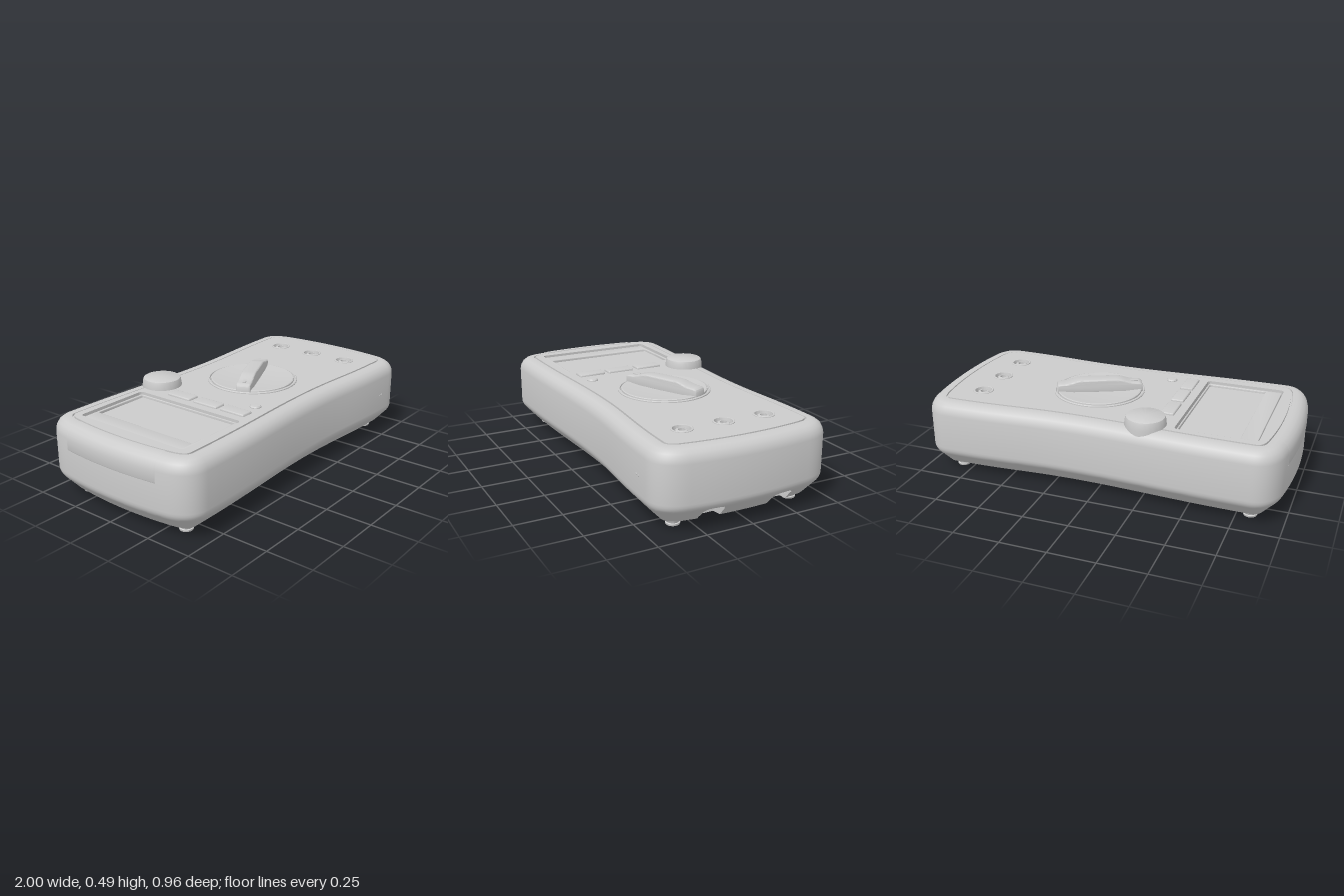
import * as THREE from 'three';
import { toCreasedNormals } from 'three/addons/utils/BufferGeometryUtils.js';

const V2 = (x, y) => new THREE.Vector2(x, y);
const material = new THREE.MeshStandardMaterial({ color: 0xcccccc });
const openMaterial = new THREE.MeshStandardMaterial({ color: 0xcccccc, side: THREE.DoubleSide });

// Waisted plan outline (x, z): half drawn with curves, half mirrored
function planOutline() {
  const p = new THREE.Path();
  const sample = (c, n) => c.getPoints(n).slice(1);
  const half = [V2(1, 0),
    ...sample(new THREE.QuadraticBezierCurve(V2(1, 0), V2(1, 0.17), V2(0.975, 0.33)), 44),
    ...sample(new THREE.CubicBezierCurve(V2(0.975, 0.33), V2(0.961, 0.42), V2(0.91, 0.478), V2(0.83, 0.478)), 14),
    ...sample(new THREE.CubicBezierCurve(V2(0.83, 0.478), V2(0.5, 0.478), V2(0.4, 0.447), V2(0.12, 0.447)), 16),
    ...sample(new THREE.CubicBezierCurve(V2(0.12, 0.447), V2(-0.2, 0.447), V2(-0.4, 0.478), V2(-0.83, 0.478)), 16),
    ...sample(new THREE.CubicBezierCurve(V2(-0.83, 0.478), V2(-0.91, 0.478), V2(-0.961, 0.42), V2(-0.975, 0.33)), 14),
    ...sample(new THREE.QuadraticBezierCurve(V2(-0.975, 0.33), V2(-1, 0.17), V2(-1, 0)), 44)];
  return [...half, ...half.slice(1, -1).reverse().map(q => V2(q.x, -q.y))];
}
const outline = planOutline();
const normals = outline.map((q, i) => {
  const n = outline.length;
  const t = outline[(i + 1) % n].clone().sub(outline[(i + n - 1) % n]).normalize();
  return V2(t.y, -t.x);
});
const all = outline.map((_, i) => i);
const inset = (d, ids = all) => ids.map(i => outline[i].clone().addScaledVector(normals[i], -d));

// Arched notches cut into the lower edge of the jack end
function notch(q, y) {
  const arch = y < 0.08 ? 0.052 : y < 0.11 ? 0.022 + Math.sqrt(0.0009 - (y - 0.08) ** 2) : 0;
  if (q.x > 0.87 && Math.abs(Math.abs(q.y) - 0.19) < arch) q.x = 0.87;
  return q;
}
const ring = (d, y, ids) => inset(d, ids).map(q => notch(q, y));

// Loft of inset rings: profile is a list of [inset, y]
function loft(profile, ids = all, closed = true) {
  const pos = [], index = [], n = ids.length;
  for (const [d, y] of profile) for (const q of ring(d, y, ids)) pos.push(q.x, y, q.y);
  for (let j = 0; j < profile.length - 1; j++) {
    for (let i = 0; i < (closed ? n : n - 1); i++) {
      const a = j * n + i, b = j * n + (i + 1) % n;
      index.push(a, a + n, b, b, a + n, b + n);
    }
  }
  const g = new THREE.BufferGeometry();
  g.setAttribute('position', new THREE.Float32BufferAttribute(pos, 3));
  g.setIndex(index);
  return toCreasedNormals(g, 0.6);
}

function roundRect(x0, x1, z0, z1, r) {
  const s = new THREE.Shape();
  s.absarc(x1 - r, z1 - r, r, 0, Math.PI / 2);
  s.absarc(x0 + r, z1 - r, r, Math.PI / 2, Math.PI);
  s.absarc(x0 + r, z0 + r, r, Math.PI, Math.PI * 1.5);
  s.absarc(x1 - r, z0 + r, r, Math.PI * 1.5, Math.PI * 2);
  s.closePath();
  return s;
}
const circle = (x, z, r) => new THREE.Shape().absarc(x, z, r, 0, Math.PI * 2);
function withHoles(shape, ...holes) {
  shape.holes.push(...holes);
  return shape;
}

// Flat plate from a plan shape, between two heights, with optional rounded edge
function slab(shape, bottom, top, bevel = 0) {
  const g = new THREE.ExtrudeGeometry(shape, {
    depth: top - bottom - 2 * bevel, bevelEnabled: bevel > 0, bevelSize: bevel,
    bevelThickness: bevel, bevelOffset: -bevel, bevelSegments: 3, curveSegments: 20 });
  g.rotateX(Math.PI / 2).translate(0, top - bevel, 0);
  return toCreasedNormals(g, 0.6);
}
const lathe = (pts, seg = 48) =>
  toCreasedNormals(new THREE.LatheGeometry(pts.map(p => V2(...p)), seg), 0.6);

export function createModel() {
  const model = new THREE.Group();
  const add = (name, geo, x = 0, y = 0, z = 0, mat = material) => {
    const m = new THREE.Mesh(geo, mat);
    m.name = name;
    m.position.set(x, y, z);
    model.add(m);
    return m;
  };

  // Case shell: chamfered base, upright wall, rounded rim, seam groove
  const base = [0.042, 0.055, 0.07, 0.08, 0.09, 0.098, 0.104, 0.1085, 0.1105, 0.118]
    .map(y => [0.08 - (y - 0.042) * 0.9, y]);
  add('caseShell', loft([...base, [0.005, 0.13], [0.001, 0.142], [0, 0.155], [0, 0.35],
    [0.005, 0.373], [0.018, 0.395], [0.038, 0.41], [0.06, 0.416], [0.085, 0.416],
    [0.086, 0.407], [0.094, 0.407], [0.095, 0.418]]));

  // Underside with half-round finger recess
  const halfDisc = (r, x = -0.65) => new THREE.Shape().absarc(x, 0, r, -Math.PI / 2, Math.PI / 2).closePath();
  const under = withHoles(new THREE.Shape(ring(0.08, 0.042)), halfDisc(0.13));
  add('underside', new THREE.ShapeGeometry(under, 20).rotateX(Math.PI / 2), 0, 0.042);
  add('recessWall', slab(withHoles(halfDisc(0.145, -0.655), halfDisc(0.13)), 0.043, 0.08));
  add('recessFloor', slab(halfDisc(0.145, -0.655), 0.075, 0.085));
  add('standPlate', slab(withHoles(roundRect(-0.77, -0.41, -0.26, 0.26, 0.02), halfDisc(0.13)), 0.04, 0.044));
  add('standTab', slab(roundRect(-0.48, -0.445, -0.108, 0.108, 0.012), 0.017, 0.045, 0.005));
  add('batteryCover', slab(roundRect(-0.38, 0.76, -0.295, 0.295, 0.02), 0.039, 0.044));
  for (const x of [-0.33, 0.72]) for (const z of [-0.26, 0.26]) {
    add('coverScrew', lathe([[0.012, 0.042], [0.014, 0.037], [0.022, 0.037], [0.024, 0.042]], 20), x, 0, z, openMaterial);
  }

  // Feet
  for (const x of [-0.82, 0.82]) for (const z of [-0.33, 0.33]) {
    add('foot', lathe([[0, 0.002], [0.028, 0.002], [0.03, 0], [0.034, 0], [0.036, 0.004], [0.036, 0.01],
      [0.031, 0.013], [0.034, 0.018], [0.035, 0.028], [0.042, 0.034], [0.044, 0.045]], 32), x, 0, z);
  }

  // Face panel with openings for the display and jacks
  const jackZ = [-0.232, 0, 0.23];
  const panel = withHoles(new THREE.Shape(inset(0.094)),
    roundRect(-0.84, -0.41, -0.345, 0.335, 0.02), ...jackZ.map(z => circle(0.72, z, 0.05)));
  add('facePanel', slab(panel, 0.37, 0.418));

  // Display: stepped frame and sunken screen
  const frame = withHoles(roundRect(-0.83, -0.418, -0.336, 0.326, 0.015), roundRect(-0.742, -0.426, -0.322, 0.31, 0.008));
  add('displayFrame', slab(frame, 0.375, 0.408, 0.003));
  add('displayScreen', slab(roundRect(-0.845, -0.405, -0.35, 0.34, 0.01), 0.37, 0.394));

  // Buttons
  for (const z of [-0.122, 0.06, 0.236]) {
    add('button', slab(roundRect(-0.364, -0.292, z - 0.077, z + 0.077, 0.008), 0.4, 0.43, 0.006));
  }
  add('roundButton', lathe([[0.03, 0.41], [0.03, 0.422], [0.025, 0.428], [0, 0.43]], 32), -0.212, 0, 0.275);

  // Side knob
  add('sideKnob', lathe([[0.109, 0.385], [0.108, 0.42], [0.104, 0.45], [0.1, 0.461], [0.093, 0.465], [0, 0.465]], 64),
    -0.258, 0, -0.335);

  // Rotary dial: rim, groove, dished disc, grip and pointer mark
  add('dialDisc', lathe([[0.25, 0.405], [0.249, 0.423], [0.245, 0.426], [0.24, 0.426], [0.237, 0.419], [0.232, 0.419],
    [0.231, 0.428], [0.226, 0.431], [0.215, 0.43], [0.15, 0.423], [0, 0.421]], 80), 0.122);
  const side = new THREE.Shape();
  side.moveTo(-0.235, 0.415);
  side.lineTo(-0.235, 0.452);
  side.quadraticCurveTo(-0.232, 0.466, -0.21, 0.467);
  side.bezierCurveTo(-0.15, 0.468, -0.14, 0.489, -0.085, 0.489);
  side.lineTo(0.085, 0.489);
  side.bezierCurveTo(0.14, 0.489, 0.15, 0.468, 0.21, 0.467);
  side.quadraticCurveTo(0.232, 0.466, 0.235, 0.452);
  side.lineTo(0.235, 0.415);
  side.closePath();
  const grip = new THREE.ExtrudeGeometry(side, { depth: 0.064, bevelSize: 0.008, bevelThickness: 0.008,
    bevelOffset: -0.008, bevelSegments: 3, curveSegments: 10 }).translate(0, 0, -0.032);
  add('dialGrip', toCreasedNormals(grip, 0.6), 0.122).rotation.y = 0.43;
  add('dialPointer', slab(roundRect(-0.212, -0.17, -0.009, 0.009, 0.005), 0.46, 0.472), 0.122).rotation.y = 0.43;

  // Input jacks: raised collar, ring well and centre socket
  for (const z of jackZ) {
    add('inputJack', lathe([[0.056, 0.414], [0.055, 0.421], [0.052, 0.423], [0.046, 0.422], [0.041, 0.4], [0.031, 0.4],
      [0.03, 0.414], [0.027, 0.416], [0.018, 0.416], [0.016, 0.37], [0, 0.37]]), 0.72, 0, z);
  }

  // End cap wrapped over the rim at the display end
  const capIds = all.filter(i => outline[i].x < -0.9 && Math.abs(outline[i].y) < 0.3);
  add('endCap', loft([[0.01, 0.288], [-0.001, 0.29], [-0.003, 0.295], [-0.003, 0.35], [0.002, 0.375],
    [0.016, 0.398], [0.037, 0.413], [0.06, 0.419], [0.084, 0.419], [0.086, 0.41]], capIds, false), 0, 0, 0, openMaterial);

  // Pair of tiny side studs
  for (const x of [0.74, 0.762]) {
    add('sideStud', new THREE.CylinderGeometry(0.006, 0.006, 0.01, 12).rotateX(Math.PI / 2), x, 0.247, 0.475);
  }
  return model;
}
